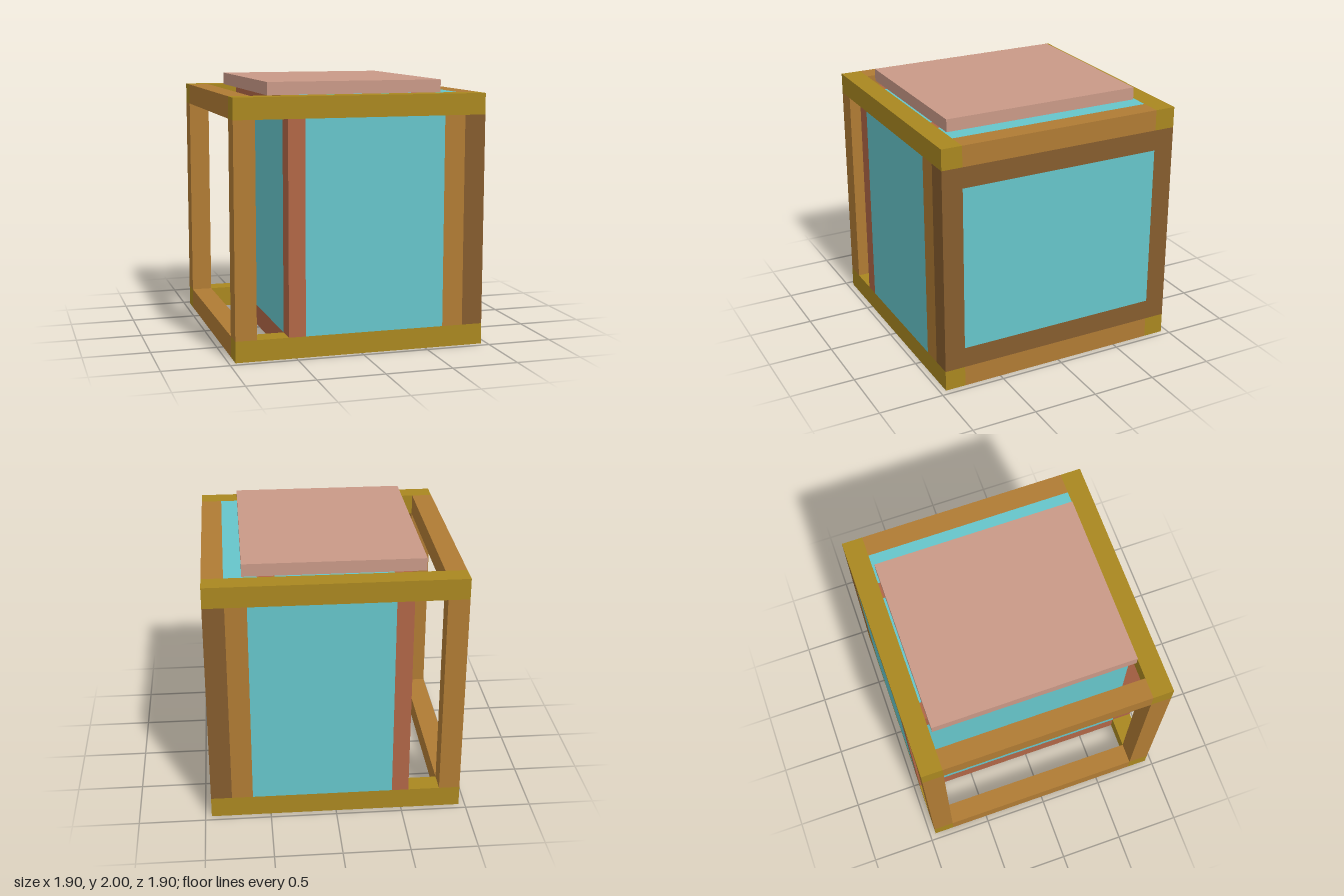
import * as THREE from 'three';

export function createModel() {
  const model = new THREE.Group();
  const mat = (name, color) => {
    const m = new THREE.MeshStandardMaterial({ color });
    m.name = name;
    return m;
  };
  const olive = mat('olive wood', 0xa98720);
  const orange = mat('light wood', 0xb07b34);
  const dark = mat('dark wood', 0x855c2e);
  const red = mat('red wood', 0xb06646);
  const glass = mat('glass', 0x66c5ca);
  const pink = mat('lid wood', 0xc99987);

  // Box given by its extents on each axis
  const box = (name, material, [x0, x1], [y0, y1], [z0, z1]) => {
    const mesh = new THREE.Mesh(new THREE.BoxGeometry(x1 - x0, y1 - y0, z1 - z0), material);
    mesh.position.set((x0 + x1) / 2, (y0 + y1) / 2, (z0 + z1) / 2);
    mesh.name = name;
    model.add(mesh);
  };

  const T = 0.15875;            // beam thickness
  const H = 12 * T, W = 6 * T;  // frame height and half width
  const I = W - T;              // inner half width
  const P0 = 3.5 * T, P1 = 2.7 * T; // partition, outer and inner offset
  const S = 4 * T;              // inner edge of the light posts
  const bottom = [0, T], top = [H - T, H], mid = [T, H - T], inner = [-I, I];

  // Front and back faces: beams, posts and glass
  for (const z of [[I, W], [-W, -I]]) {
    box('crossBeamBottom', olive, [-W, W], bottom, z);
    box('crossBeamTop', olive, [-W, W], top, z);
    box('openSidePost', orange, [-W, -I], mid, z);
    box('partitionPost', red, [-P0, -P1], mid, z);
    box('innerPost', orange, [S, I], mid, z);
    box('cornerPost', dark, [I, W], mid, z);
    box('facePanel', glass, [-P1, S], mid, z);
  }

  // Side beams running front to back
  for (const x of [[-W, -I], [I, W]]) {
    box('sideBeamBottom', orange, x, bottom, inner);
    box('sideBeamTop', orange, x, top, inner);
  }

  // Closed side: rails and glass
  box('sideRailBottom', dark, [I, W], [T, 2 * T], inner);
  box('sideRailTop', dark, [I, W], [H - 2 * T, H - T], inner);
  box('sidePanel', glass, [I, W], [2 * T, H - 2 * T], inner);

  // Recessed partition behind the open side
  box('partitionRailBottom', red, [-P0, -P1], bottom, inner);
  box('partitionRailTop', red, [-P0, -P1], top, inner);
  box('partitionPanel', glass, [-P0, -P1], mid, inner);

  // Floor and roof
  box('floorPanel', glass, [-P1, I], bottom, inner);
  box('roofPanelMain', glass, [-P1, P1], top, inner);
  box('roofRail', red, [P1, P0], top, inner);
  box('roofPanelSide', glass, [P0, I], top, inner);

  // Lid
  box('lid', pink, [-0.665, 0.665], [H, 2], [-0.777, 0.777]);

  return model;
}
